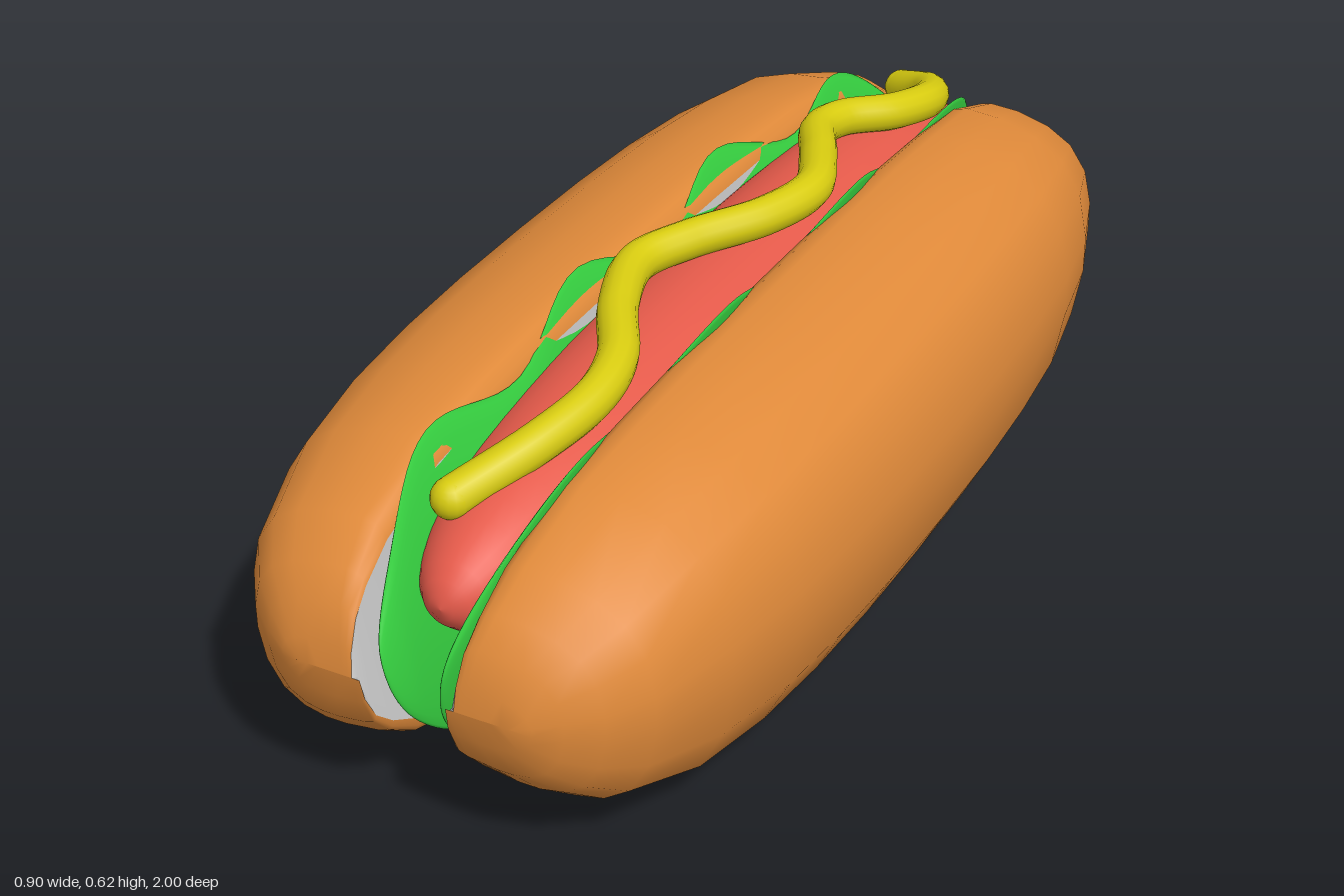
import * as THREE from 'three';
import { mergeVertices } from 'three/addons/utils/BufferGeometryUtils.js';

const V = (x, y, z) => new THREE.Vector3(x, y, z);

// Smooth surface through rows of points; side = -1 mirrors it in x
function grid(fn, rows, cols, side = 1) {
  const pos = [], index = [];
  for (let i = 0; i <= rows; i++) {
    for (let j = 0; j <= cols; j++) {
      const p = fn(i, j);
      pos.push(p.x * side, p.y, p.z);
      if (i === rows || j === cols) continue;
      const a = i * (cols + 1) + j, b = a + 1, c = a + cols + 1, d = c + 1;
      index.push(...(side > 0 ? [a, b, c, b, d, c] : [a, c, b, b, c, d]));
    }
  }
  let geo = new THREE.BufferGeometry();
  geo.setAttribute('position', new THREE.Float32BufferAttribute(pos, 3));
  geo.setIndex(index);
  geo = mergeVertices(geo, 1e-5);
  geo.computeVertexNormals();
  return geo;
}

function part(name, geo, color, doubleSided = false) {
  const material = new THREE.MeshStandardMaterial({ color });
  if (doubleSided) material.side = THREE.DoubleSide;
  const mesh = new THREE.Mesh(geo, material);
  mesh.name = name;
  return mesh;
}

// Bun stations: z, width scale, height scale
const half = [
  [0, 1, 1], [0.2, 0.995, 0.997], [0.38, 0.975, 0.985], [0.55, 0.94, 0.945], [0.72, 0.86, 0.875],
  [0.87, 0.73, 0.68], [0.935, 0.6, 0.51], [0.972, 0.47, 0.36], [0.993, 0.36, 0.17], [1, 0.28, 0],
];
const stations = [...half.slice(1).reverse().map(([z, w, h]) => [-z, w, h]), ...half];

// Bun cross-section, from the lower lip round the outside to the upper lip
const crust = [
  [0.055, 0.075], [0.058, 0.052], [0.068, 0.035], [0.1, 0.02], [0.2, 0.003], [0.26, 0.003],
  [0.325, 0.02], [0.385, 0.065], [0.43, 0.15], [0.45, 0.26], [0.45, 0.34], [0.43, 0.435],
  [0.385, 0.505], [0.32, 0.548], [0.235, 0.574], [0.16, 0.58], [0.13, 0.572], [0.112, 0.558], [0.105, 0.54],
];
// Flat cut face, from the upper lip down
const cut = [[0.105, 0.54], [0.081, 0.3], [0.055, 0.075]];

function bunSurface(profile, side) {
  const cx = 0.081, cy = 0.3;
  return grid((i, j) => {
    const [z, w, h] = stations[i], [x, y] = profile[j];
    return V(cx + (x - cx) * w, cy + (y - cy) * h, z);
  }, stations.length - 1, profile.length - 1, side);
}

// Thin leaf with wavy upper and lower edges, leaning outwards at the top
function lettuce(side) {
  const rows = 80, cols = 24;
  return grid((i, j) => {
    const s = -Math.cos((Math.PI * i) / rows);
    const z = 0.972 * s;
    const a = ((j % cols) / cols) * Math.PI * 2;
    const wave = Math.cos((2 * Math.PI * (z - 0.24)) / 0.49);
    const hTop = Math.sqrt(Math.max(0, 1 - s ** 4));
    const hLow = Math.sqrt(Math.max(0, 1 - s ** 10));
    const top = 0.32 + 0.25 * hTop + 0.03 * wave * hLow;
    const low = 0.32 - 0.23 * hLow - 0.035 * wave * hLow;
    const y = (top + low) / 2 + ((top - low) / 2) * Math.cos(a);
    const x = 0.03 + 0.28 * y * y + 0.007 * wave - 0.013 * Math.min(1, hLow * 1.5) * Math.sin(a);
    return V(x, y, z);
  }, rows, cols, side);
}

export function createModel() {
  const group = new THREE.Group();
  group.name = 'hotDog';

  for (const [side, label] of [[1, 'left'], [-1, 'right']]) {
    group.add(part(label + 'Bun', bunSurface(crust, side), 0xe08a3a));
    group.add(part(label + 'BunCutFace', bunSurface(cut, side), 0xcccccc, true));
    group.add(part(label + 'Lettuce', lettuce(side), 0x36d040, true));
  }

  // Sausage with tapered round ends
  const outline = [];
  for (let i = 0; i <= 32; i++) {
    const t = -Math.cos((Math.PI * i) / 32);
    outline.push(new THREE.Vector2(0.175 * Math.sqrt(Math.max(0, 1 - Math.abs(t) ** 3)), 0.932 * t));
  }
  const sausage = part('sausage', new THREE.LatheGeometry(outline, 32).rotateX(Math.PI / 2), 0xe55a4a);
  sausage.position.set(0, 0.38, -0.043);
  group.add(sausage);

  // Mustard squiggle along the top of the sausage
  const r = 0.034;
  const path = [
    [-0.055, 0.475, -0.89], [0.025, 0.51, -0.83], [0.063, 0.54, -0.73], [0.04, 0.558, -0.62],
    [-0.02, 0.57, -0.53], [-0.03, 0.575, -0.46], [0.02, 0.582, -0.35], [0.068, 0.586, -0.22],
    [0.04, 0.584, -0.1], [-0.04, 0.58, 0.03], [-0.08, 0.576, 0.13], [-0.04, 0.572, 0.27],
    [0.03, 0.562, 0.4], [0.046, 0.55, 0.5], [0.02, 0.53, 0.62], [-0.05, 0.49, 0.765],
  ].map((p) => V(...p));
  const mustard = new THREE.Group();
  mustard.name = 'mustard';
  const curve = new THREE.CatmullRomCurve3(path);
  mustard.add(part('mustardLine', new THREE.TubeGeometry(curve, 120, r, 14), 0xd8cc10));
  for (const end of [path[0], path[path.length - 1]]) {
    const tip = part('mustardTip', new THREE.SphereGeometry(r, 16, 12), 0xd8cc10);
    tip.position.copy(end);
    mustard.add(tip);
  }
  group.add(mustard);

  return group;
}
